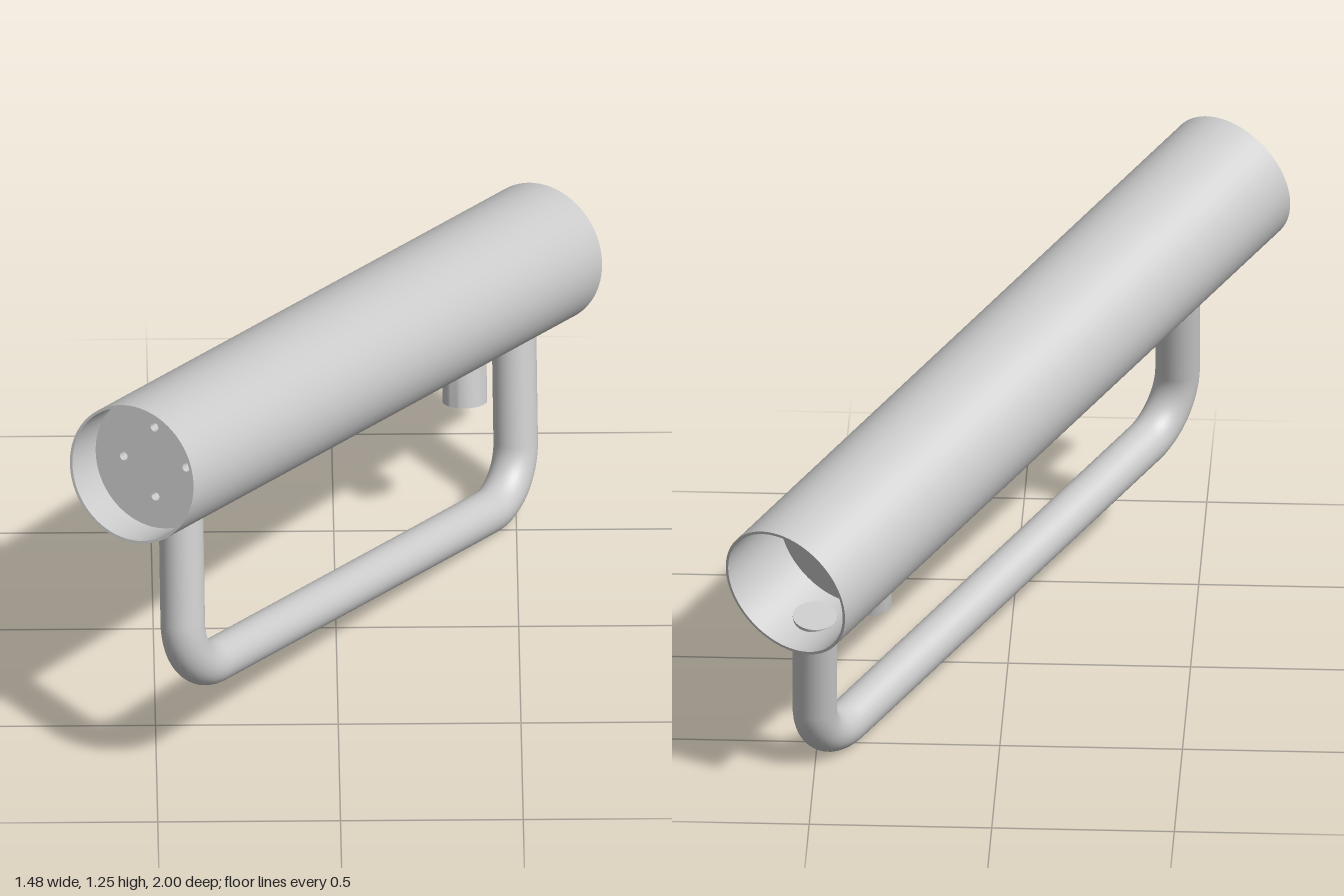
import * as THREE from 'three';
import { toCreasedNormals } from 'three/addons/utils/BufferGeometryUtils.js';

const material = new THREE.MeshStandardMaterial({ color: 0xcccccc });

function addMesh(parent, name, geometry) {
  const mesh = new THREE.Mesh(geometry, material);
  mesh.name = name;
  parent.add(mesh);
  return mesh;
}

// Open pipe along y with a real wall thickness
function pipe(outer, inner, y0, y1, segments) {
  const profile = [[inner, y0], [outer, y0], [outer, y1], [inner, y1], [inner, y0]];
  const lathe = new THREE.LatheGeometry(profile.map(([r, y]) => new THREE.Vector2(r, y)), segments);
  return toCreasedNormals(lathe, 0.6);
}

// Round plate along z with four holes
function plate(radius, thickness) {
  const shape = new THREE.Shape().absarc(0, 0, radius, 0, Math.PI * 2);
  for (let i = 0; i < 4; i++) {
    const a = i * Math.PI / 2;
    shape.holes.push(new THREE.Path().absarc(0.1 * Math.cos(a), 0.1 * Math.sin(a), 0.0125, 0, Math.PI * 2, true));
  }
  const geometry = new THREE.ExtrudeGeometry(shape, { depth: thickness, bevelEnabled: false, curveSegments: 40 });
  return toCreasedNormals(geometry, 0.6);
}

// U-shaped path in the yz plane with two rounded corners
function handlePath(zFront, zBack, top, bottom, r) {
  const p = (y, z) => new THREE.Vector3(0, y, z);
  const k = r * (1 - 0.5523);
  const path = new THREE.CurvePath();
  path.add(new THREE.LineCurve3(p(top, zFront), p(bottom + r, zFront)));
  path.add(new THREE.CubicBezierCurve3(p(bottom + r, zFront), p(bottom + k, zFront), p(bottom, zFront - k), p(bottom, zFront - r)));
  path.add(new THREE.LineCurve3(p(bottom, zFront - r), p(bottom, zBack + r)));
  path.add(new THREE.CubicBezierCurve3(p(bottom, zBack + r), p(bottom, zBack + k), p(bottom + k, zBack), p(bottom + r, zBack)));
  path.add(new THREE.LineCurve3(p(bottom + r, zBack), p(top, zBack)));
  return path;
}

export function createModel() {
  const model = new THREE.Group();
  model.name = 'tubeWithHandle';

  // Everything is built upright along z, then tilted as one assembly
  const assembly = new THREE.Group();
  assembly.name = 'tiltedAssembly';
  const zAxis = new THREE.Vector3(-1.14, 0.40, 1.78).normalize();
  const yAxis = new THREE.Vector3(-0.012, 1, -0.2325).normalize();
  const xAxis = new THREE.Vector3().crossVectors(yAxis, zAxis).normalize();
  yAxis.crossVectors(zAxis, xAxis);
  assembly.quaternion.setFromRotationMatrix(new THREE.Matrix4().makeBasis(xAxis, yAxis, zAxis));
  assembly.position.y = 0.855;
  model.add(assembly);

  // Main tube
  const half = 1.0755;
  addMesh(assembly, 'mainTube', pipe(0.198, 0.19, -half, half, 96).rotateX(Math.PI / 2));

  // Recessed plates at both ends
  const thickness = 0.03;
  addMesh(assembly, 'frontPlate', plate(0.192, thickness)).position.z = 0.953 - thickness;
  addMesh(assembly, 'backPlate', plate(0.192, thickness)).position.z = -0.825;

  // Handle bent from one round bar, with its two ends closed
  const top = -0.18, zFront = 0.821, zBack = -0.932, radius = 0.061;
  const path = handlePath(zFront, zBack, top, -0.662, 0.16);
  addMesh(assembly, 'handle', new THREE.TubeGeometry(path, 160, radius, 32, false));
  for (const [name, z] of [['handleFrontEnd', zFront], ['handleBackEnd', zBack]]) {
    addMesh(assembly, name, new THREE.CircleGeometry(radius, 32).rotateX(-Math.PI / 2)).position.set(0, top, z);
  }

  // Short open stub under the tube
  addMesh(assembly, 'stub', pipe(0.061, 0.055, -0.31, -0.182, 40)).position.z = -0.67;

  return model;
}
